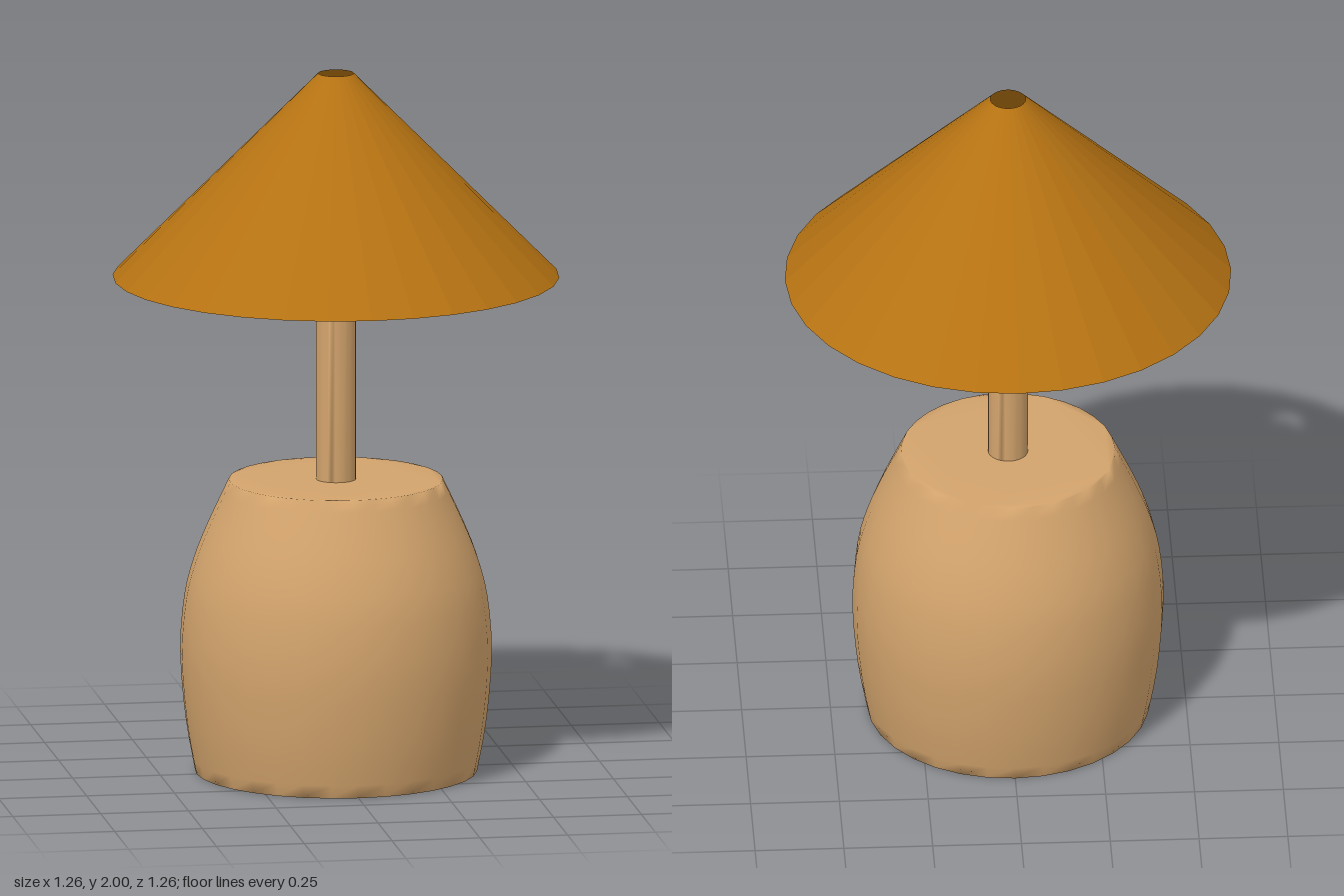
import * as THREE from 'three';

// Turned solid from [radius, height] rings, capped, with normals smoothed over the rims
function turnedSolid(profile, sides) {
  const pos = [], index = [], contour = [];
  for (const [r, y] of profile) {
    for (let i = 0; i < sides; i++) {
      const a = (i / sides) * Math.PI * 2;
      pos.push(r * Math.sin(a), y, r * Math.cos(a));
    }
  }
  for (let j = 0; j < profile.length - 1; j++) {
    for (let i = 0; i < sides; i++) {
      const n = (i + 1) % sides, lo = j * sides, hi = lo + sides;
      index.push(lo + i, lo + n, hi + n, lo + i, hi + n, hi + i);
    }
  }
  for (let i = 0; i < sides; i++) {
    const a = (i / sides) * Math.PI * 2;
    contour.push(new THREE.Vector2(Math.sin(a), -Math.cos(a)));
  }
  const top = (profile.length - 1) * sides;
  for (const [a, b, c] of THREE.ShapeUtils.triangulateShape(contour, [])) {
    index.push(top + a, top + b, top + c, a, c, b);
  }
  const geo = new THREE.BufferGeometry();
  geo.setAttribute('position', new THREE.Float32BufferAttribute(pos, 3));
  geo.setIndex(index);
  geo.computeVertexNormals();
  return geo;
}

export function createModel() {
  const wood = new THREE.MeshStandardMaterial({ color: 0xd2a36c });
  wood.name = 'light wood';
  const amber = new THREE.MeshStandardMaterial({ color: 0xb57212, flatShading: true, side: THREE.DoubleSide });
  amber.name = 'amber shade';
  const white = new THREE.MeshStandardMaterial({ color: 0xe0e0e0, flatShading: true });
  white.name = 'bulb white';

  const lamp = new THREE.Group();
  lamp.name = 'tableLamp';
  const add = (name, geo, mat, y = 0) => {
    const mesh = new THREE.Mesh(geo, mat);
    mesh.name = name;
    mesh.position.y = y;
    lamp.add(mesh);
    return mesh;
  };

  // Barrel-shaped base, curved by a spline through its profile
  const curve = new THREE.SplineCurve([
    [0.403, 0], [0.43, 0.15], [0.445, 0.34], [0.433, 0.5],
    [0.405, 0.61], [0.365, 0.71], [0.306, 0.835],
  ].map(([r, y]) => new THREE.Vector2(r, y)));
  const profile = curve.getPoints(18).map((p) => [p.x, p.y]);
  add('base', turnedSolid(profile, 32), wood).scale.x = 0.985;

  // Pole standing on the base
  add('pole', turnedSolid([[0.056, 0.83], [0.056, 1.67]], 32), wood);

  // Bulb on top of the pole
  add('bulb', new THREE.SphereGeometry(0.137, 32, 16), white, 1.8);

  // Open conical shade
  add('shade', new THREE.CylinderGeometry(0.05, 0.632, 0.583, 32, 1, true), amber, 1.7085).scale.x = 0.994;

  return lamp;
}
